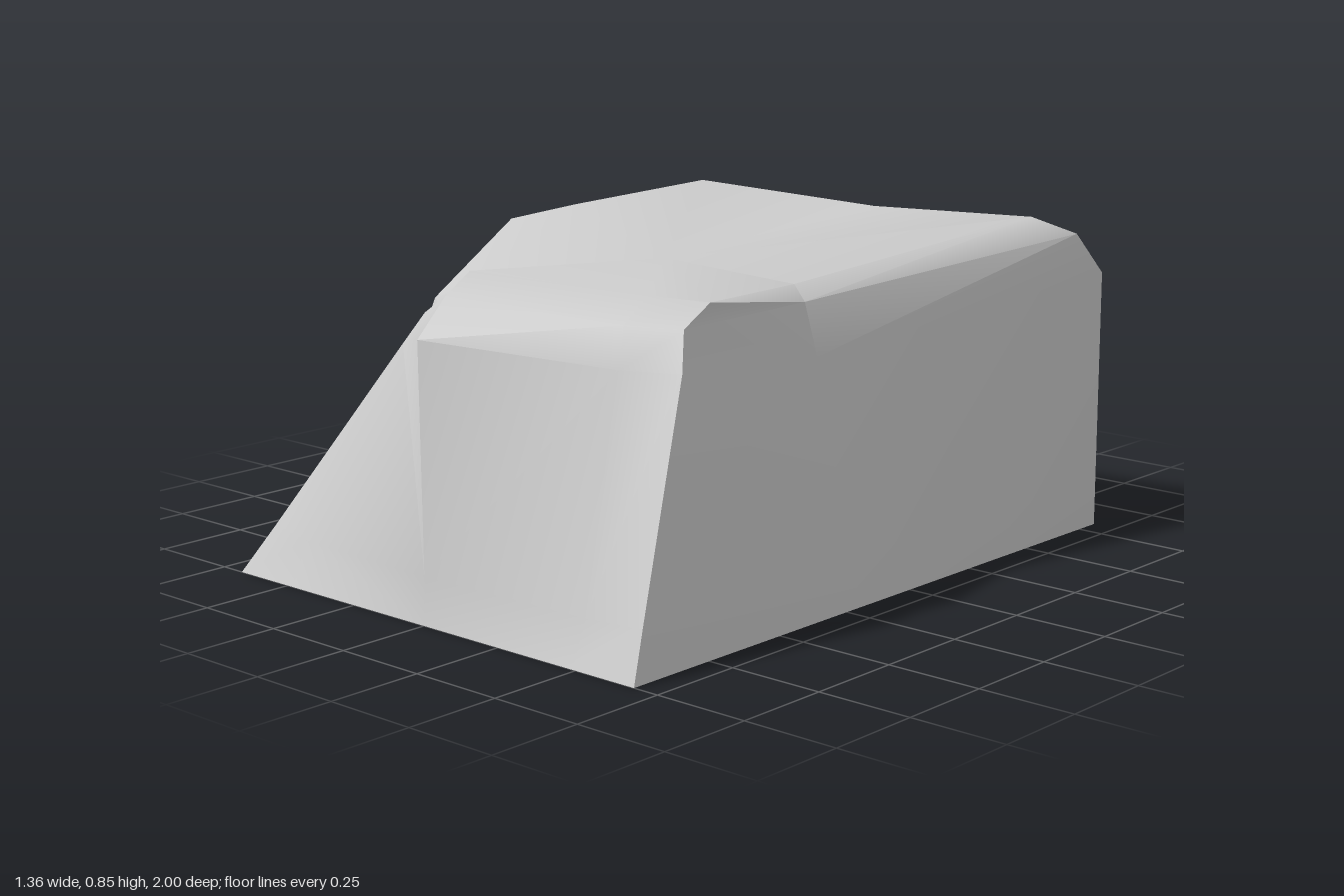
import * as THREE from 'three';
import { toCreasedNormals } from 'three/addons/utils/BufferGeometryUtils.js';

// Footprint [x, z], counterclockwise from above, starting at the front right corner
const footprint = [
  [-0.68, 1], [-0.48, 1], [0, 1], [0.49, 1], [0.68, 1], [0.68, 0.2],
  [0.68, -0.82], [0, -1], [-0.68, -0.82], [-0.68, 0.09], [-0.68, 0.74],
];
// Profile above each footprint point: foot, shoulder, bevel, top rim
const profiles = [
  [[-0.62, 0.12, 0.935], [-0.37, 0.64, 0.65], [-0.35, 0.68, 0.61], [-0.33, 0.71, 0.56]], // front right corner
  [[-0.48, 0.11, 0.95], [-0.33, 0.6, 0.75], [-0.28, 0.68, 0.72], [-0.24, 0.743, 0.64]], // front, right part
  [[0, 0.12, 0.995], [0, 0.69, 1], [0, 0.78, 0.91], [0, 0.83, 0.83]], // front middle
  [[0.49, 0.11, 0.955], [0.45, 0.65, 0.8], [0.43, 0.745, 0.76], [0.42, 0.8, 0.67]], // front, left part
  [[0.665, 0.12, 0.955], [0.59, 0.65, 0.74], [0.55, 0.74, 0.69], [0.55, 0.79, 0.6]], // front left corner
  [[0.652, 0.12, 0.2], [0.54, 0.6, 0.2], [0.5, 0.73, 0.2], [0.45, 0.765, 0.18]], // left side
  [[0.68, 0.12, -0.82], [0.68, 0.69, -0.82], [0.65, 0.8, -0.74], [0.56, 0.845, -0.66]], // back left corner
  [[0, 0.15, -0.93], [0, 0.58, -0.82], [0.05, 0.77, -0.68], [0.07, 0.83, -0.62]], // back middle
  [[-0.68, 0.12, -0.82], [-0.68, 0.69, -0.82], [-0.65, 0.8, -0.74], [-0.54, 0.848, -0.6]], // back right corner
  [[-0.68, 0.12, 0.09], [-0.68, 0.69, 0.09], [-0.65, 0.8, 0.06], [-0.54, 0.835, -0.08]], // right side
  [[-0.64, 0.12, 0.74], [-0.475, 0.54, 0.57], [-0.45, 0.67, 0.53], [-0.38, 0.72, 0.45]], // right side, front part
];
const columns = profiles.map((points, i) => [[footprint[i][0], 0, footprint[i][1]], ...points]);
// Panels split along the other diagonal
const flipped = new Set([1, 4, 6]);
const topCentre = [0, 0.775, 0.15];

function surface(triangles) {
  const geometry = new THREE.BufferGeometry();
  geometry.setAttribute('position', new THREE.Float32BufferAttribute(triangles.flat(2), 3));
  return toCreasedNormals(geometry, 0.7);
}

export function createModel() {
  const group = new THREE.Group();
  group.name = 'rock';
  const material = new THREE.MeshStandardMaterial({ color: 0xcccccc });
  const body = [];
  const base = [];

  columns.forEach((a, i) => {
    const b = columns[(i + 1) % columns.length];
    // Walls and rounded rim
    for (let k = 0; k < a.length - 1; k++) {
      if (flipped.has(i)) body.push([a[k], b[k], a[k + 1]], [b[k], b[k + 1], a[k + 1]]);
      else body.push([a[k], b[k], b[k + 1]], [a[k], b[k + 1], a[k + 1]]);
    }
    // Dished top and flat underside
    body.push([a[4], b[4], topCentre]);
    base.push([b[0], a[0], [0, 0, 0]]);
  });

  const rockBody = new THREE.Mesh(surface(body), material);
  rockBody.name = 'rockBody';
  const underside = new THREE.Mesh(surface(base), material);
  underside.name = 'underside';
  group.add(rockBody, underside);
  return group;
}
